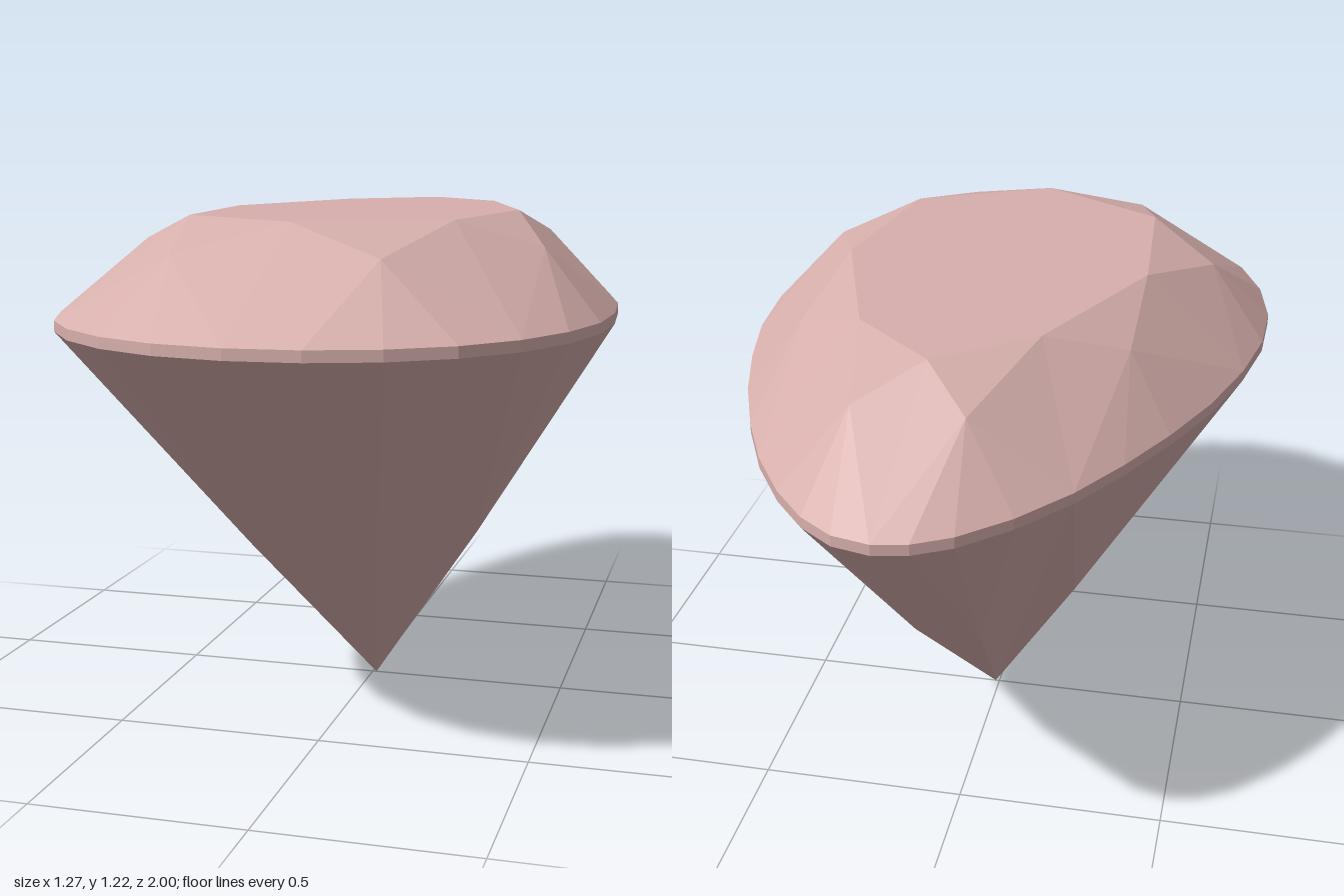
import * as THREE from 'three';

// Pear-shaped girdle outline [x, z], starting at the back tip and running round by +x
const OUTLINE = [
  [0.055, -1], [0.14, -0.98], [0.22, -0.92], [0.30, -0.825],
  [0.385, -0.69], [0.46, -0.53], [0.525, -0.36], [0.58, -0.17],
  [0.62, 0.02], [0.635, 0.22], [0.625, 0.41], [0.58, 0.58],
  [0.505, 0.73], [0.40, 0.85], [0.27, 0.935], [0.12, 0.985],
  [-0.04, 0.997], [-0.20, 0.97], [-0.34, 0.905], [-0.46, 0.805],
  [-0.55, 0.68], [-0.61, 0.52], [-0.64, 0.34], [-0.635, 0.16],
  [-0.60, -0.03], [-0.54, -0.23], [-0.465, -0.41], [-0.385, -0.57],
  [-0.30, -0.715], [-0.20, -0.845], [-0.10, -0.94], [-0.02, -0.985],
];
const N = OUTLINE.length;
const MAINS = 8;

// Outline point scaled towards the axis at a given height
function ring(i, scale, y) {
  const [x, z] = OUTLINE[(i + N) % N];
  return [x * scale, y, z * scale];
}

const tablePoint = (k) => ring(4 * k, 0.6, 1.22);
const starPoint = (k) => ring(4 * k + 2, 0.775, 1.155);
const girdleTop = (i) => ring(i, 1, 1.0);
const girdleBottom = (i) => ring(i, 1, 0.975);
const pavilionPoint = (k) => ring(4 * k + 2, 0.505, 0.455);
const culet = [0.01, 0, 0];

// Unshared triangles give every facet its own flat normal
function facetMesh(name, triangles, material) {
  const geometry = new THREE.BufferGeometry();
  geometry.setAttribute('position', new THREE.Float32BufferAttribute(triangles.flat(2), 3));
  geometry.computeVertexNormals();
  const mesh = new THREE.Mesh(geometry, material);
  mesh.name = name;
  return mesh;
}

export function createModel() {
  const gem = new THREE.MeshStandardMaterial({ color: 0xd6afac });
  gem.name = 'rose gem';

  const table = [], crown = [], girdle = [], pavilion = [];
  for (let k = 0; k < MAINS; k++) {
    const T = tablePoint(k), S = starPoint(k), P = pavilionPoint(k);

    // Flat table
    table.push([[0, 1.22, 0], tablePoint(k + 1), T]);

    // Crown: star facet and main kite
    const top = girdleTop(4 * k);
    crown.push([tablePoint(k + 1), S, T]);
    crown.push([T, S, top], [T, top, starPoint(k - 1)]);

    // Pavilion: main kite down to the culet
    const low = girdleBottom(4 * k);
    pavilion.push([low, P, culet], [low, culet, pavilionPoint(k - 1)]);

    // Girdle band with the half facets fanning above and below it
    for (let i = 4 * k; i < 4 * k + 4; i++) {
      const a = girdleTop(i), b = girdleTop(i + 1);
      const c = girdleBottom(i), d = girdleBottom(i + 1);
      crown.push([S, b, a]);
      girdle.push([b, d, c], [b, c, a]);
      pavilion.push([d, P, c]);
    }
  }

  const group = new THREE.Group();
  group.name = 'pearCutGem';
  group.add(
    facetMesh('table', table, gem),
    facetMesh('crown', crown, gem),
    facetMesh('girdle', girdle, gem),
    facetMesh('pavilion', pavilion, gem),
  );
  return group;
}
